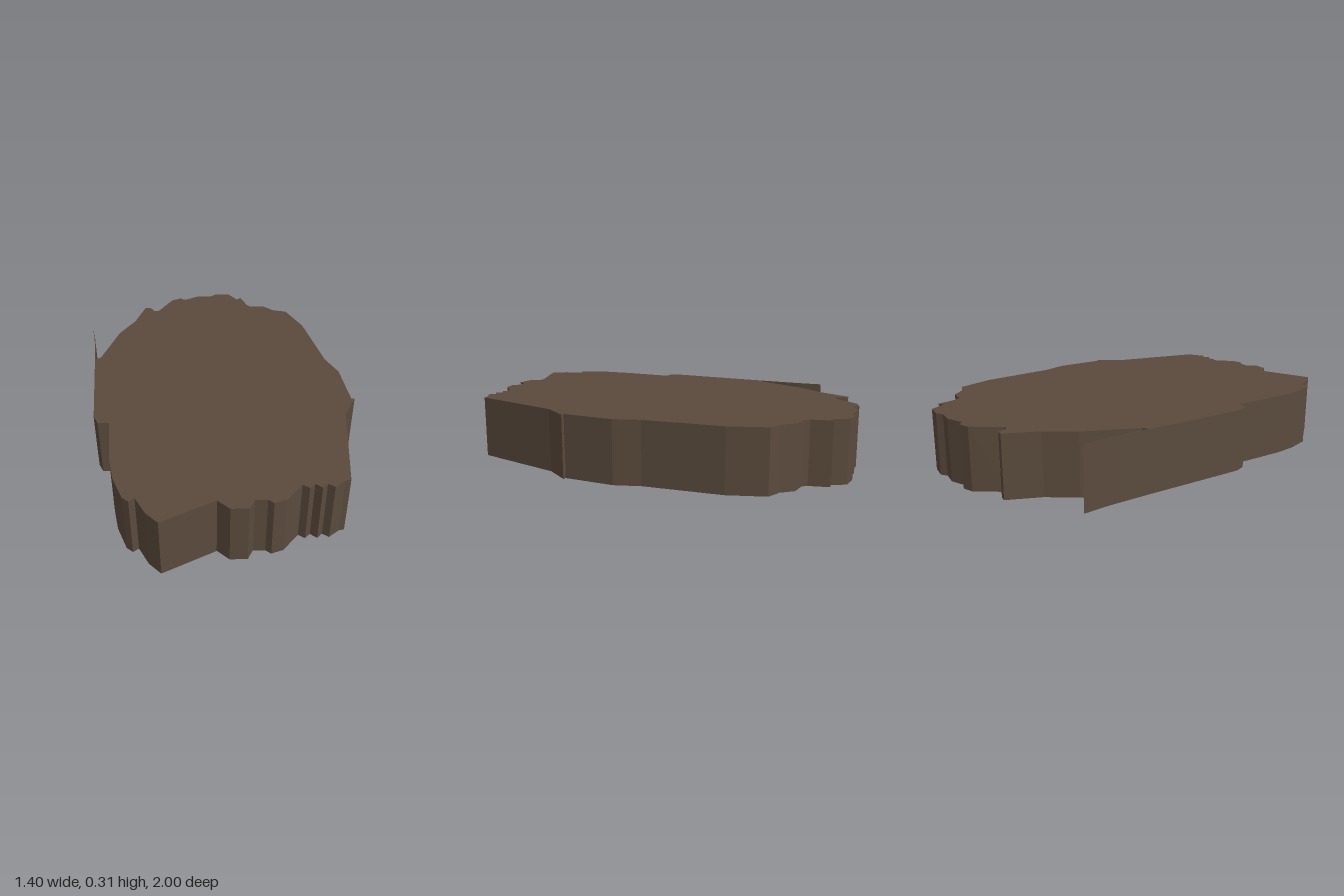
import * as THREE from 'three';

const HEIGHT = 0.305;

// Ragged plan outline as [x, z], walked from the back edge round the left side
const OUTLINE = [
  // back to left side
  [0.02, -1], [0.1, -1], [0.15, -0.93], [0.175, -0.95], [0.21, -0.855], [0.23, -0.835],
  [0.31, -0.835], [0.365, -0.785], [0.44, -0.765], [0.52, -0.595], [0.6, -0.22],
  [0.655, -0.1], [0.68, 0.15], [0.697, 0.15], [0.63, 0.28], [0.575, 0.755],
  // front edge
  [0.55, 0.76], [0.5, 0.8], [0.47, 0.78], [0.445, 0.805], [0.415, 0.78], [0.39, 0.805],
  [0.36, 0.785], [0.285, 0.875], [0.23, 0.895], [0.205, 0.875], [0.15, 0.875],
  [0.125, 0.925], [0.045, 0.925], [-0.01, 0.875], [-0.25, 1],
  // right side
  [-0.305, 0.945], [-0.355, 0.855], [-0.38, 0.875], [-0.41, 0.85], [-0.46, 0.73],
  [-0.485, 0.615], [-0.515, 0.33], [-0.57, 0.33], [-0.595, 0.28], [-0.65, -0.24],
  // right side to back
  [-0.62, -0.26], [-0.54, -0.525], [-0.46, -0.665], [-0.41, -0.83], [-0.38, -0.83],
  [-0.355, -0.785], [-0.33, -0.785], [-0.25, -0.925], [-0.2, -0.95], [-0.17, -0.93],
  [-0.09, -0.975], [-0.01, -0.975],
];

// Thin sliver trailing off the right side, tapering to a point
const FIN = [[-0.65, -0.24], [-0.675, -0.45], [-0.7, -0.58], [-0.673, -0.45], [-0.646, -0.243]];

function extrudePlan(name, points, material) {
  const shape = new THREE.Shape(points.map(([x, z]) => new THREE.Vector2(x, -z)));
  const geometry = new THREE.ExtrudeGeometry(shape, { depth: HEIGHT, bevelEnabled: false });
  geometry.rotateX(-Math.PI / 2);
  const mesh = new THREE.Mesh(geometry, material);
  mesh.name = name;
  return mesh;
}

export function createModel() {
  const earth = new THREE.MeshStandardMaterial({ color: 0x5a4a3c });
  earth.name = 'dark brown earth';

  const model = new THREE.Group();
  model.name = 'slab';
  model.add(extrudePlan('slabBody', OUTLINE, earth));
  model.add(extrudePlan('sideFin', FIN, earth));
  return model;
}
